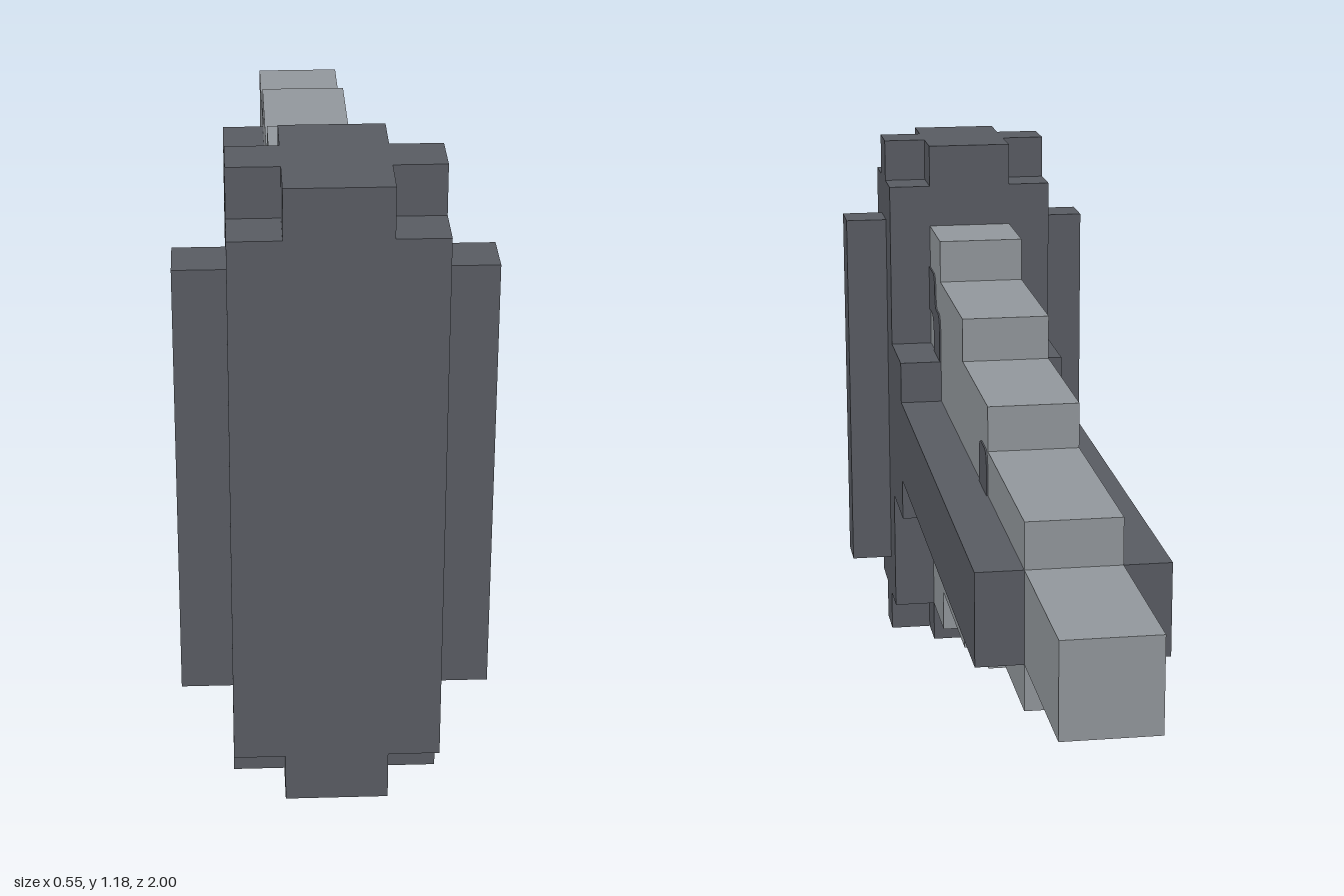
import * as THREE from 'three';

const U = 1 / 11; // block size; the model is 22 blocks long

export function createModel() {
  const group = new THREE.Group();
  const darkSteel = new THREE.MeshStandardMaterial({ name: 'darkSteel', color: 0x5a5d64 });
  const paleSteel = new THREE.MeshStandardMaterial({ name: 'paleSteel', color: 0x959a9f });

  const add = (name, geometry, material) => {
    const mesh = new THREE.Mesh(geometry, material);
    mesh.name = name;
    group.add(mesh);
    return mesh;
  };

  // Box given by its limits in blocks
  const box = (name, x0, x1, y0, y1, z0, z1, material) => {
    const geometry = new THREE.BoxGeometry((x1 - x0) * U, (y1 - y0) * U, (z1 - z0) * U);
    geometry.translate((x0 + x1) / 2 * U, (y0 + y1) / 2 * U, (z0 + z1) / 2 * U);
    return add(name, geometry, material);
  };

  // Side profile (z, y) extruded across x, centred on the given x
  const slab = (shape, x, width) => {
    const geometry = new THREE.ExtrudeGeometry(shape, { depth: width, bevelEnabled: false, curveSegments: 5 });
    geometry.translate(0, 0, -width / 2);
    geometry.rotateY(-Math.PI / 2);
    geometry.translate(x, 0, 0);
    return geometry;
  };

  // Stepped outline, mirrored above and below y = 6 blocks: [zFront, zBack, halfHeight]
  const steppedShape = (steps) => {
    const upper = steps.flatMap(([a, b, h]) => [[a, h], [b, h]]);
    const lower = upper.map(([z, h]) => [z, -h]).reverse();
    return new THREE.Shape([...upper, ...lower].map(([z, h]) => new THREE.Vector2(z * U, (6 + h) * U)));
  };

  // Head block with cross-shaped end caps
  box('headBlock', -2, 2, 1, 12, 8, 11, darkSteel);
  for (const [name, y] of [['headBottomCap', 0], ['headTopCap', 12]]) {
    box(name, -1, 1, y, y + 1, 8, 11, darkSteel);
    for (const s of [-1, 1]) box(name + 'Side', 1.5 * s - 0.5, 1.5 * s + 0.5, y, y + 1, 9, 10, darkSteel);
  }

  // Tapering stepped blade
  add('blade', slab(steppedShape([[8, 6, 5], [6, 2, 4], [2, -2, 3], [-2, -7, 2], [-7, -11, 1]]), 0, 2 * U), paleSteel);

  // Side ribs of the head and beams along the blade
  const beamShape = steppedShape([[8, 6, 2], [6, -7, 1]]);
  for (const s of [-1, 1]) {
    const side = s > 0 ? 'left' : 'right';
    box(side + 'HeadRib', 2.5 * s - 0.5, 2.5 * s + 0.5, 2, 11, 9, 10, darkSteel);
    add(side + 'Beam', slab(beamShape, 1.5 * s * U, U), darkSteel);
  }

  // Worn patch rising (or hanging) from y0 to y1 with rounded outer corners
  const patch = (side, z0, z1, y0, y1) => {
    const r = 0.03, d = Math.sign(y1 - y0) * r;
    const shape = new THREE.Shape();
    shape.moveTo(z0, y0);
    shape.lineTo(z0, y1 - d);
    shape.quadraticCurveTo(z0, y1, z0 + r, y1);
    shape.lineTo(z1 - r, y1);
    shape.quadraticCurveTo(z1, y1, z1, y1 - d);
    shape.lineTo(z1, y0);
    add('wornPatch', slab(shape, side * (U + 0.001), 0.004), darkSteel);
  };
  patch(1, -0.18, -0.077, 7 * U, 0.727);
  patch(1, 0.08, 0.197, 5 * U, 0.368);
  patch(-1, -0.10, 0.04, 7 * U, 0.74);
  patch(-1, 0.08, 0.197, 5 * U, 0.368);
  patch(-1, 0.63, 0.727, 8 * U, 0.86);

  // Hooked patch beside the head
  const hook = new THREE.Shape();
  hook.moveTo(0.727, 0.906);
  hook.lineTo(0.65, 0.906);
  hook.quadraticCurveTo(0.628, 0.9, 0.628, 0.87);
  hook.quadraticCurveTo(0.625, 0.83, 0.6, 0.832);
  hook.lineTo(0.57, 0.832);
  hook.quadraticCurveTo(0.547, 0.825, 0.547, 0.8);
  hook.lineTo(0.547, 0.727);
  hook.lineTo(0.655, 0.727);
  hook.quadraticCurveTo(0.64, 0.8, 0.68, 0.808);
  hook.lineTo(0.727, 0.808);
  add('hookedPatch', slab(hook, U + 0.001, 0.004), darkSteel);

  return group;
}
